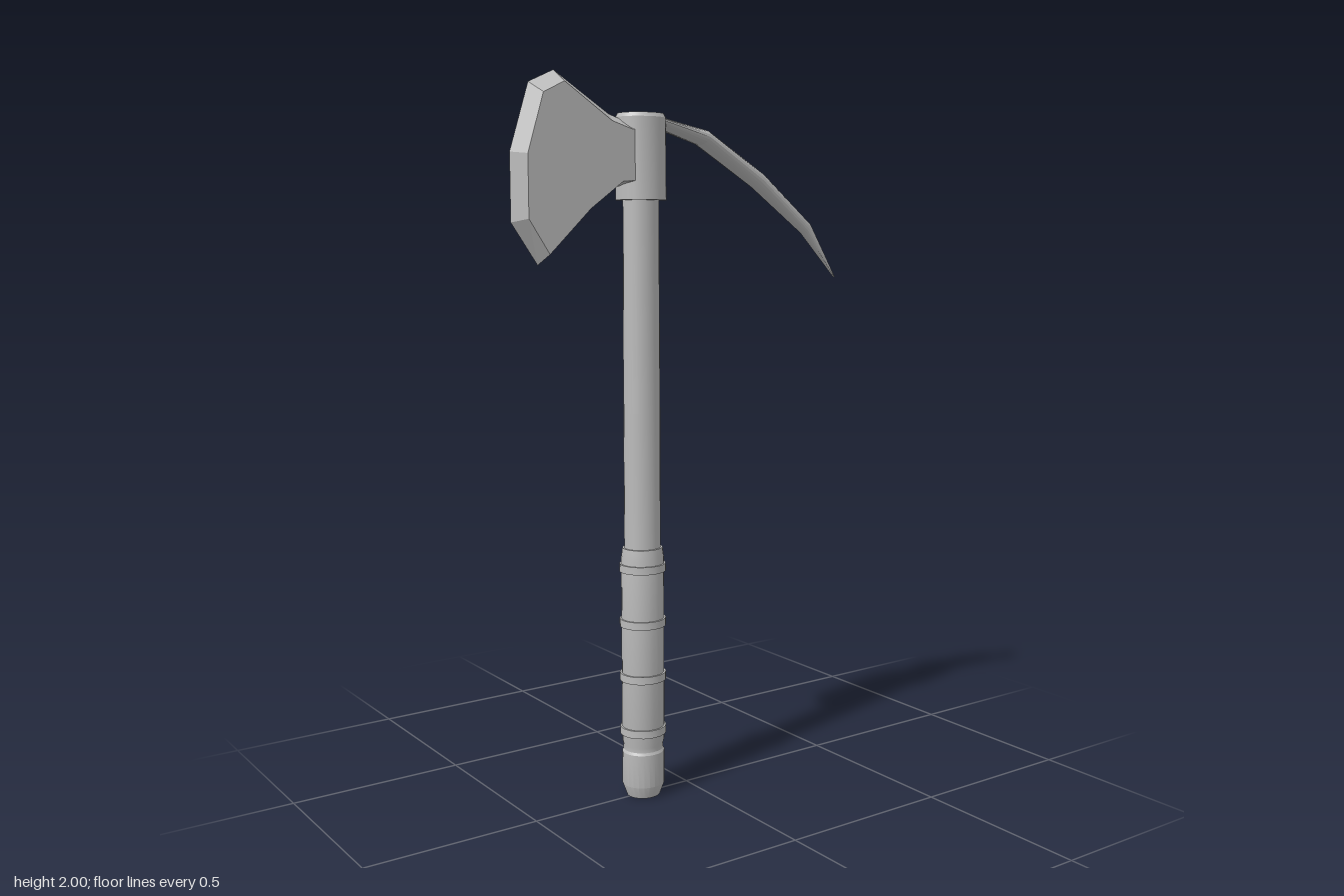
import * as THREE from 'three';
import { toCreasedNormals } from 'three/addons/utils/BufferGeometryUtils.js';

const AXIS = -0.15; // x of the handle

// Flat-faced geometry from a list of [x, y, z] triangle corners
function fromCorners(corners) {
  const g = new THREE.BufferGeometry();
  g.setAttribute('position', new THREE.Float32BufferAttribute(corners.flat(), 3));
  return g;
}

// Turned part around the handle axis, slightly narrower in depth
function turned(profile, zScale) {
  const pts = profile.map(([r, y]) => new THREE.Vector2(r, y));
  const g = toCreasedNormals(new THREE.LatheGeometry(pts, 24), 0.4);
  g.scale(1, 1, zScale);
  g.translate(AXIS, 0, 0);
  return g;
}

// Blade: flat cheeks joined by a ridge that runs round the middle plane
function bladeGeometry() {
  const h = 0.047;
  const ridge = [
    [-0.416, 2.0], [-0.49, 1.966], [-0.546, 1.79], [-0.546, 1.613], [-0.47, 1.504],
    [-0.33, 1.633], [-0.23, 1.71], [-0.14, 1.715], [-0.14, 1.885], [-0.21, 1.885], [-0.25, 1.897],
  ];
  const cheek = [
    [-0.41, 1.968], [-0.472, 1.938], [-0.519, 1.785], [-0.519, 1.622], [-0.459, 1.532],
    [-0.335, 1.65], [-0.235, 1.722], [-0.14, 1.728], [-0.14, 1.857], [-0.205, 1.857], [-0.268, 1.876],
  ];
  const n = ridge.length, out = [];
  const R = (i) => [...ridge[i % n], 0];
  const C = (i, z) => [...cheek[i % n], z];
  for (let i = 0; i < n; i++) {
    out.push(C(i, h), R(i), R(i + 1), C(i, h), R(i + 1), C(i + 1, h));
    out.push(C(i, -h), R(i + 1), R(i), C(i, -h), C(i + 1, -h), R(i + 1));
  }
  const faces = THREE.ShapeUtils.triangulateShape(cheek.map(([x, y]) => new THREE.Vector2(x, y)), []);
  for (const [a, b, c] of faces) {
    out.push(C(a, h), C(b, h), C(c, h), C(a, -h), C(c, -h), C(b, -h));
  }
  const g = fromCorners(out);
  g.computeVertexNormals();
  return g;
}

// Spike: oval sections along a drooping path, creased at each section
function spikeGeometry() {
  // x, y, tilt, half thickness, half width
  const sections = [
    [-0.12, 1.888, -0.15, 0.012, 0.047],
    [0.052, 1.848, -0.36, 0.022, 0.041],
    [0.247, 1.736, -0.6, 0.024, 0.031],
    [0.427, 1.602, -0.8, 0.02, 0.018],
    [0.541, 1.459, -0.9, 0.002, 0.003],
  ];
  const sides = 20;
  const P = (s, k) => {
    const [x, y, tilt, t, w] = sections[s];
    const a = (k / sides) * Math.PI * 2, up = Math.cos(a) * t;
    return [x - Math.sin(tilt) * up, y + Math.cos(tilt) * up, Math.sin(a) * w];
  };
  const out = [];
  for (let s = 0; s < sections.length - 1; s++) {
    for (let k = 0; k < sides; k++) {
      const a = P(s, k), b = P(s, k + 1), c = P(s + 1, k + 1), d = P(s + 1, k);
      out.push(a, b, c, a, c, d);
    }
  }
  // End caps
  const last = sections.length - 1;
  for (let k = 1; k < sides - 1; k++) {
    out.push(P(0, 0), P(0, k + 1), P(0, k), P(last, 0), P(last, k), P(last, k + 1));
  }
  return toCreasedNormals(fromCorners(out), 0.2);
}

export function createModel() {
  const group = new THREE.Group();
  group.name = 'axe';
  const steel = new THREE.MeshStandardMaterial({ color: 0xbbbbbb });
  steel.name = 'plain grey';
  const add = (name, geometry) => {
    const mesh = new THREE.Mesh(geometry, steel);
    mesh.name = name;
    group.add(mesh);
  };

  // Handle
  add('shaft', turned([[0.052, 0.6], [0.052, 1.1], [0.05, 1.7]], 0.92));
  add('pommel', turned([[0, 0], [0.048, 0], [0.061, 0.035], [0.061, 0.13], [0.057, 0.137]], 0.95));
  add('grip', turned([[0.057, 0.137], [0.057, 0.15], [0.061, 0.165], [0.061, 0.69], [0.057, 0.72], [0.045, 0.72]], 0.95));
  for (const y of [0.193, 0.35, 0.507, 0.664]) {
    add('gripBand', turned([[0.055, y - 0.011], [0.066, y - 0.011], [0.066, y + 0.011], [0.055, y + 0.011]], 0.95));
  }

  // Head
  add('socket', turned([[0, 1.675], [0.07, 1.675], [0.07, 1.892], [0.064, 1.903], [0, 1.903]], 0.93));
  add('blade', bladeGeometry());
  add('spike', spikeGeometry());
  return group;
}
